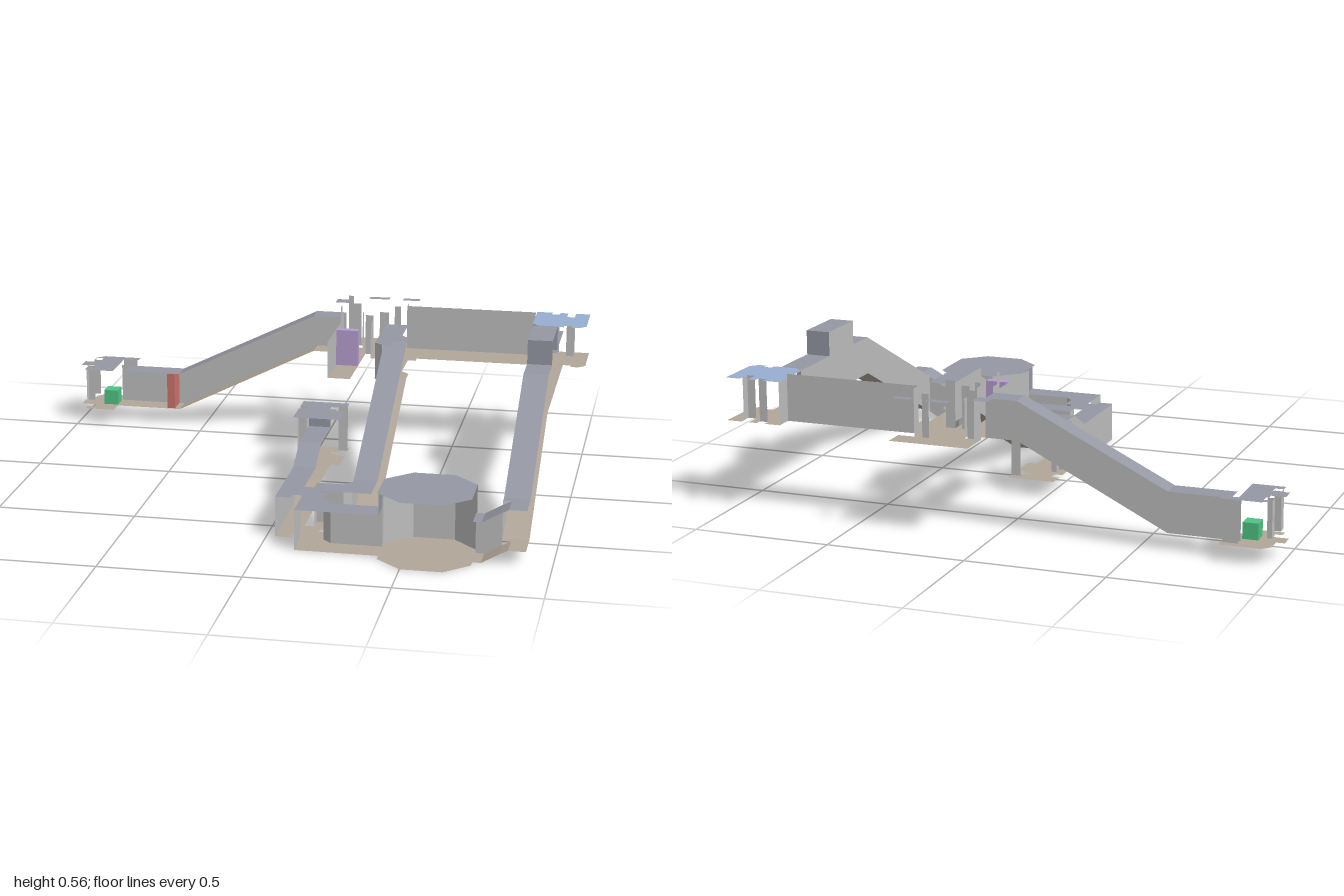
import * as THREE from 'three';

const paint = (name, color) => {
  const m = new THREE.MeshStandardMaterial({ color, side: THREE.DoubleSide });
  m.name = name;
  return m;
};

export function createModel() {
  const root = new THREE.Group();
  root.name = 'corridorComplex';
  const wallMat = paint('wallGrey', 0xbdbdbe);
  const floorMat = paint('floorTan', 0xb0a698);
  const roofMat = paint('roofSlate', 0x9597a3);
  const blueMat = paint('roofBlue', 0x98aed0);
  const greenMat = paint('crateGreen', 0x4fc384);
  const redMat = paint('doorRed', 0xc9736b);
  const purpleMat = paint('doorPurple', 0xb59dcf);

  const add = (parent, name, geo, mat) => {
    const m = new THREE.Mesh(geo, mat);
    m.name = name;
    parent.add(m);
    return m;
  };
  const group = (name) => {
    const g = new THREE.Group();
    g.name = name;
    root.add(g);
    return g;
  };

  // Flat-shaded strip stretched between two matching rails of points
  const ribbon = (a, b) => {
    const pos = [];
    for (let i = 0; i + 1 < a.length; i++) {
      for (const p of [a[i], b[i], b[i + 1], a[i], b[i + 1], a[i + 1]]) pos.push(...p);
    }
    const g = new THREE.BufferGeometry();
    g.setAttribute('position', new THREE.Float32BufferAttribute(pos, 3));
    g.computeVertexNormals();
    return g;
  };

  // Horizontal plate from an outline of [x, z]
  const plate = (parent, name, mat, y, pts) => {
    const s = new THREE.Shape(pts.map(([x, z]) => new THREE.Vector2(x, -z)));
    const g = new THREE.ShapeGeometry(s);
    g.rotateX(-Math.PI / 2);
    g.translate(0, y, 0);
    add(parent, name, g, mat);
  };
  const rect = (x0, x1, z0, z1) => [[x0, z0], [x1, z0], [x1, z1], [x0, z1]];

  // Upright wall along a line of [x, z]
  const wall = (parent, y0, y1, pts, mat = wallMat, name = 'wall') =>
    add(parent, name, ribbon(pts.map(([x, z]) => [x, y0, z]), pts.map(([x, z]) => [x, y1, z])), mat);

  // Corridor: floor, roof and one side wall; profile is [distance, floorY, roofY]
  const corridor = (name, axis, lo, hi, profile, wallEnd = profile.length) => {
    const g = group(name);
    const rail = (k, side, n = profile.length) => profile.slice(0, n).map((p) =>
      axis === 'x' ? [p[0], p[k], side] : [side, p[k], p[0]]);
    const up = axis === 'x' ? [lo, hi] : [hi, lo];
    add(g, 'floor', ribbon(rail(1, up[0]), rail(1, up[1])), floorMat);
    add(g, 'roof', ribbon(rail(2, up[0]), rail(2, up[1])), roofMat);
    add(g, 'sideWall', ribbon(rail(1, lo, wallEnd), rail(2, lo, wallEnd)), wallMat);
    return g;
  };

  // Long corridors
  corridor('westCorridor', 'x', -0.66, -0.58,
    [[-0.82, 0.06, 0.205], [-0.6, 0.06, 0.205], [-0.06, 0.33, 0.47], [0.055, 0.33, 0.47]]);
  corridor('eastCorridor', 'z', 0.82, 0.91,
    [[-0.55, 0.33, 0.47], [-0.285, 0.33, 0.47], [-0.285, 0.33, 0.56], [-0.08, 0.33, 0.56],
      [-0.08, 0.33, 0.47], [0.045, 0.33, 0.47], [0.605, 0.05, 0.195], [0.63, 0.05, 0.195]]);
  corridor('middleRamp', 'z', 0.265, 0.35,
    [[-0.285, 0.33, 0.47], [0.37, 0, 0.145]]);
  corridor('leftCorridor', 'z', 0.03, 0.11,
    [[-0.02, 0.06, 0.205], [0.165, 0.06, 0.205], [0.275, 0, 0.145], [0.42, 0, 0.145]]);
  corridor('frontCorridor', 'x', 0.63, 0.72,
    [[0.73, 0, 0.145], [0.76, 0, 0.145], [0.82, 0.035, 0.18], [0.85, 0.05, 0.195], [0.91, 0.05, 0.195]], 3);

  // Upper landing of the middle ramp
  const landing = group('middleLanding');
  const landingPts = [[0.235, -0.52], [0.32, -0.52], [0.32, -0.37], [0.35, -0.34], [0.35, -0.285],
    [0.295, -0.285], [0.295, -0.23], [0.265, -0.23], [0.235, -0.255]];
  plate(landing, 'roof', roofMat, 0.47, landingPts);
  plate(landing, 'floor', floorMat, 0.33, landingPts.slice(0, 5).concat([[0.235, -0.285]]));
  wall(landing, 0.33, 0.47, [[0.235, -0.52], [0.235, -0.255], [0.265, -0.23]]);

  // Open central hub with the east hall and a short spur
  const hub = group('hub');
  plate(hub, 'floor', floorMat, 0.33, [[0.06, -0.81], [0.35, -0.81], [0.35, -0.73], [0.29, -0.73],
    [0.29, -0.69], [0.79, -0.69], [0.79, -0.55], [0.35, -0.55], [0.35, -0.52], [0.235, -0.52],
    [0.235, -0.58], [0.2, -0.58], [0.2, -0.52], [0.175, -0.52], [0.175, -0.58], [0.145, -0.58],
    [0.145, -0.23], [0.06, -0.23], [0.06, -0.58], [0.05, -0.58], [0.05, -0.66], [0.12, -0.66],
    [0.12, -0.69], [0.06, -0.69]]);
  wall(hub, 0.33, 0.5, [[0.29, -0.69], [0.79, -0.69]], wallMat, 'hallWall');
  wall(hub, 0.33, 0.47, [[0.06, -0.52], [0.06, -0.23]], wallMat, 'spurWall');
  const posts = [
    [0.06, -0.54, 0.06, -0.515, 0.53], [0.06, -0.575, 0.06, -0.54, 0.49],
    [0.06, -0.72, 0.06, -0.69, 0.52], [0.06, -0.75, 0.06, -0.72, 0.485],
    [0.06, -0.69, 0.08, -0.69, 0.53], [0.08, -0.69, 0.11, -0.69, 0.5], [0.12, -0.69, 0.12, -0.66, 0.47],
    [0.145, -0.58, 0.175, -0.58, 0.485], [0.175, -0.58, 0.175, -0.52, 0.47],
    [0.2, -0.58, 0.235, -0.58, 0.5], [0.235, -0.73, 0.26, -0.73, 0.485], [0.29, -0.73, 0.29, -0.69, 0.5]];
  for (const [x0, z0, x1, z1, top] of posts) wall(hub, 0.33, top, [[x0, z0], [x1, z1]], wallMat, 'hubPost');
  for (const r of [[0, 0.055, -0.78, -0.73], [0.12, 0.2, -0.84, -0.81], [0.255, 0.32, -0.84, -0.81]]) {
    plate(hub, 'ledge', roofMat, 0.49, rect(...r));
  }

  // Blue-roofed corner room
  const blue = group('blueRoom');
  const bluePts = [[0.79, -0.755], [0.85, -0.755], [0.85, -0.73], [0.88, -0.73], [0.88, -0.755],
    [0.91, -0.755], [0.91, -0.7], [0.94, -0.7], [0.94, -0.755], [0.995, -0.755], [0.995, -0.575],
    [0.97, -0.55], [0.94, -0.55], [0.94, -0.57], [0.91, -0.57], [0.91, -0.55], [0.82, -0.55], [0.79, -0.58]];
  plate(blue, 'floor', floorMat, 0.33, bluePts);
  plate(blue, 'roof', blueMat, 0.485, bluePts);
  wall(blue, 0.33, 0.485, [[0.79, -0.755], [0.79, -0.69]]);
  wall(blue, 0.33, 0.485, [[0.91, -0.7], [0.94, -0.7], [0.94, -0.735]]);
  wall(blue, 0.33, 0.485, [[0.85, -0.73], [0.88, -0.73]]);
  wall(blue, 0.33, 0.485, [[0.79, -0.58], [0.82, -0.55]]);

  // Small lift room
  const lift = group('liftRoom');
  const liftPts = [[-0.03, -0.225], [0.145, -0.225], [0.145, -0.19], [0.11, -0.19], [0.11, -0.17],
    [0.085, -0.17], [0.085, -0.145], [0.11, -0.145], [0.11, -0.13], [0.145, -0.13], [0.145, -0.02],
    [-0.03, -0.02], [-0.03, -0.13], [0, -0.13], [0, -0.165], [-0.03, -0.165]];
  plate(lift, 'floor', floorMat, 0.06, liftPts);
  plate(lift, 'roof', roofMat, 0.235, liftPts);
  wall(lift, 0.08, 0.235, [[-0.03, -0.19], [-0.03, -0.165], [0, -0.165], [0, -0.13], [-0.03, -0.13], [-0.03, -0.1]]);
  wall(lift, 0.06, 0.235, [[0.11, -0.19], [0.145, -0.19]]);
  wall(lift, 0.205, 0.235, [[0.03, -0.02], [0.11, -0.02]], roofMat, 'lintel');

  // West end room
  const west = group('westRoom');
  plate(west, 'roof', roofMat, 0.22, [[-0.94, -0.72], [-0.795, -0.72], [-0.795, -0.69], [-0.855, -0.69],
    [-0.855, -0.52], [-0.97, -0.52], [-0.97, -0.55], [-0.94, -0.55], [-0.94, -0.58], [-1, -0.58],
    [-1, -0.635], [-0.95, -0.635], [-0.95, -0.66], [-0.94, -0.66], [-0.94, -0.69], [-0.97, -0.69]]);
  plate(west, 'floor', floorMat, 0.06, [[-0.94, -0.72], [-0.795, -0.72], [-0.795, -0.58], [-0.855, -0.58],
    [-0.855, -0.52], [-0.97, -0.52], [-0.97, -0.55], [-0.94, -0.55], [-0.94, -0.58], [-1, -0.58],
    [-1, -0.635], [-0.97, -0.635], [-0.97, -0.69]]);
  wall(west, 0.06, 0.22, [[-0.855, -0.69], [-0.8, -0.69]]);
  wall(west, 0.06, 0.205, [[-0.855, -0.66], [-0.82, -0.66]]);
  wall(west, 0.08, 0.22, [[-0.97, -0.69], [-0.97, -0.66], [-0.945, -0.66]]);
  wall(west, 0.08, 0.22, [[-0.97, -0.545], [-0.97, -0.575], [-0.945, -0.575]]);

  // Junction joining left, middle and front corridors
  const junction = group('junction');
  const joinPts = [[0.03, 0.42], [0.11, 0.42], [0.11, 0.48], [0.145, 0.48], [0.145, 0.43], [0.24, 0.43],
    [0.265, 0.4], [0.265, 0.37], [0.35, 0.37], [0.35, 0.51], [0.17, 0.51], [0.17, 0.53], [0.2, 0.53],
    [0.2, 0.6], [0.23, 0.63], [0.41, 0.63], [0.41, 0.72], [0.12, 0.72], [0.12, 0.57], [0.085, 0.57],
    [0.085, 0.6], [0.03, 0.6]];
  plate(junction, 'floor', floorMat, 0, joinPts);
  plate(junction, 'roof', roofMat, 0.145, joinPts);
  wall(junction, 0, 0.145, [[0.03, 0.6], [0.03, 0.42]]);
  wall(junction, 0, 0.145, [[0.145, 0.48], [0.145, 0.43], [0.24, 0.43], [0.265, 0.4], [0.265, 0.37]]);
  wall(junction, 0, 0.145, [[0.2, 0.6], [0.23, 0.63], [0.41, 0.63]]);
  wall(junction, 0, 0.145, [[0.12, 0.72], [0.12, 0.6]]);

  // Octagonal room, walled at the back
  const octagon = group('octagonRoom');
  const octPts = [[0.41, 0.6], [0.5, 0.515], [0.645, 0.515], [0.73, 0.6],
    [0.73, 0.75], [0.645, 0.83], [0.5, 0.83], [0.41, 0.75]];
  plate(octagon, 'floor', floorMat, 0, octPts);
  plate(octagon, 'roof', roofMat, 0.235, octPts);
  wall(octagon, 0, 0.235, [[0.41, 0.63], ...octPts.slice(0, 4)]);
  wall(octagon, 0.145, 0.235, [[0.41, 0.72], [0.41, 0.63]], roofMat, 'lintel');

  // Doors and crate
  const box = (name, mat, x0, x1, y0, y1, z0, z1) => add(root, name,
    new THREE.BoxGeometry(x1 - x0, y1 - y0, z1 - z0)
      .translate((x0 + x1) / 2, (y0 + y1) / 2, (z0 + z1) / 2), mat);
  box('redDoor', redMat, -0.65, -0.62, 0.062, 0.203, -0.658, -0.58);
  box('purpleDoor', purpleMat, 0.062, 0.145, 0.332, 0.47, -0.43, -0.4);
  box('greenCrate', greenMat, -0.91, -0.855, 0.062, 0.12, -0.64, -0.585);

  return root;
}
